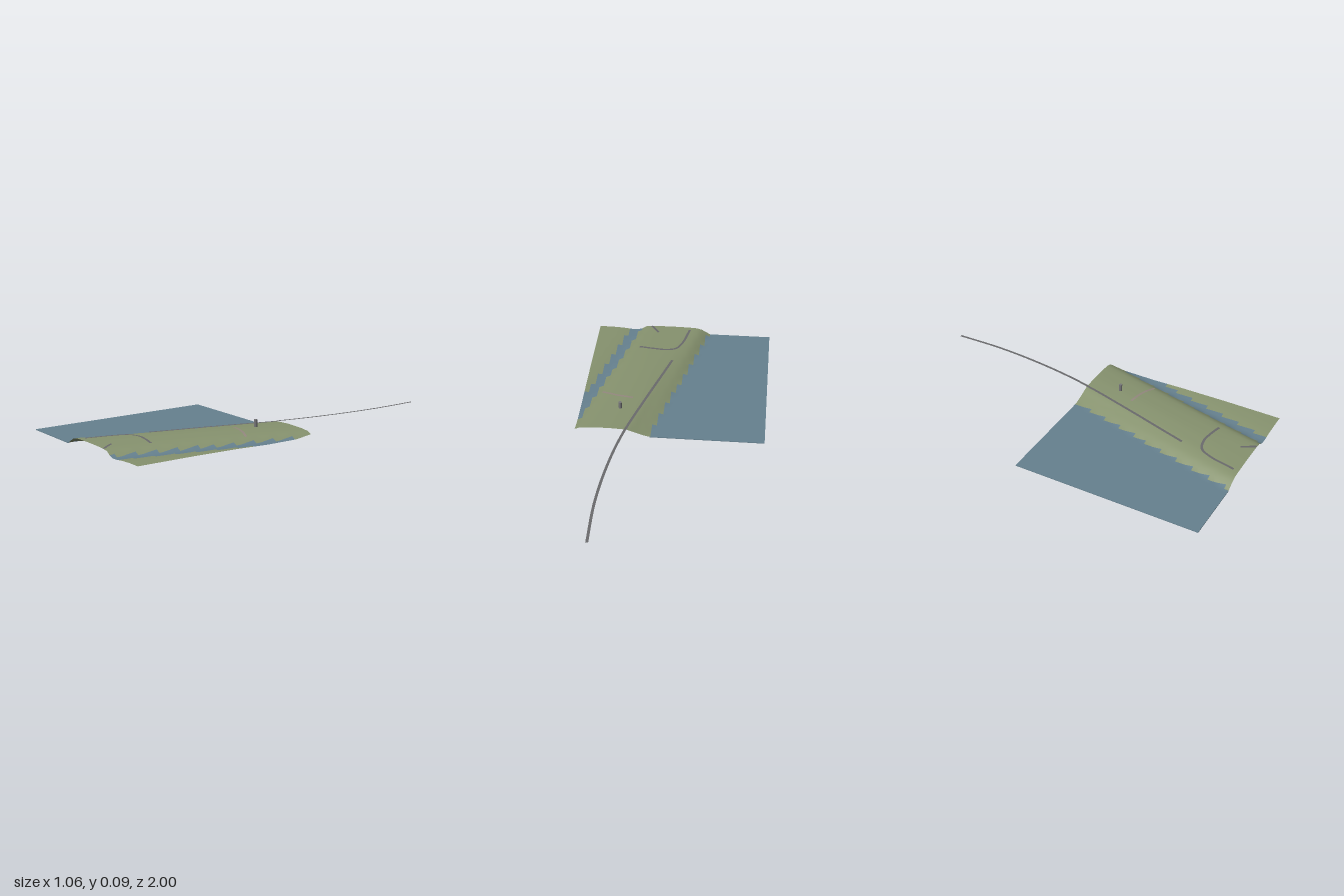
import * as THREE from 'three';

const X0 = -0.53, X1 = 0.53, Z0 = -0.07, Z1 = 1, N = 40;
const SEA = 0.004, CHANNEL = 0.016;

const shoreU = (x, z) => x - (0.102 - 0.257 * z); // distance inland from the sea shore

// Cross-section of the headland: [distance from shore, height]
const FRONT = [[0, SEA], [0.035, 0.03], [0.065, 0.042], [0.11, 0.046], [0.22, 0.048], [0.33, 0.047],
  [0.39, 0.043], [0.435, CHANNEL], [0.485, CHANNEL], [0.53, 0.022], [0.6, 0.026], [0.7, 0.027]];
const BACK = [[0, SEA], [0.05, 0.02], [0.08, 0.03], [0.115, 0.045], [0.22, 0.05], [0.33, 0.047],
  [0.39, 0.041], [0.435, CHANNEL], [0.485, CHANNEL], [0.53, 0.022], [0.6, 0.026], [0.7, 0.027]];

function sample(profile, u) {
  if (u <= profile[0][0]) return profile[0][1];
  for (let i = 1; i < profile.length; i++) {
    const [a, ya] = profile[i - 1], [b, yb] = profile[i];
    if (u <= b) return THREE.MathUtils.lerp(ya, yb, (u - a) / (b - a));
  }
  return profile[profile.length - 1][1];
}

function height(x, z) {
  const u = shoreU(x, z), t = (z - Z0) / (Z1 - Z0);
  const y = THREE.MathUtils.lerp(sample(BACK, u), sample(FRONT, u), t);
  // gentle crown in the middle of the headland
  const crown = u > 0.08 && u < 0.4 ? Math.sin((u - 0.08) / 0.32 * Math.PI) : 0;
  return y + 0.005 * crown * Math.sin(Math.max(0, Math.min(1, t)) * Math.PI);
}

function regionAt(x, z) {
  const u = shoreU(x, z);
  if (u < 0) return 'sea';
  return u > 0.425 && u < 0.49 ? 'channel' : 'land';
}

const material = color => new THREE.MeshStandardMaterial({ color, side: THREE.DoubleSide });

function surface(name, positions, index, mat) {
  const g = new THREE.BufferGeometry();
  g.setAttribute('position', new THREE.Float32BufferAttribute(positions, 3));
  g.setIndex(index);
  g.computeVertexNormals();
  const mesh = new THREE.Mesh(g, mat);
  mesh.name = name;
  return mesh;
}

// Flat strip along a plan-view curve, draped on the ground
function ribbon(name, points, width, mat, steps = 60) {
  const curve = new THREE.CatmullRomCurve3(points.map(([x, z]) => new THREE.Vector3(x, 0, z)));
  const pos = [], index = [];
  for (let i = 0; i <= steps; i++) {
    const p = curve.getPointAt(i / steps), t = curve.getTangentAt(i / steps);
    const y = p.z < Z0 ? 0.049 : height(p.x, p.z) + 0.002;
    for (const s of [-1, 1]) {
      pos.push(p.x - s * t.z * width / 2, y, p.z + s * t.x * width / 2);
    }
    if (i < steps) {
      const a = i * 2;
      index.push(a, a + 2, a + 1, a + 1, a + 2, a + 3);
    }
  }
  return surface(name, pos, index, mat);
}

export function createModel() {
  const model = new THREE.Group();
  model.name = 'coastalTerrain';
  const landMat = material(0x87936f), waterMat = material(0x66818f);
  const trackMat = material(0x6a6a6c), paleMat = material(0x94897f);

  // Land and water share one grid, so the shores follow the cells
  const dx = (X1 - X0) / N, dz = (Z1 - Z0) / N;
  const positions = [], cells = { land: [], sea: [], channel: [] };
  for (let j = 0; j <= N; j++) {
    for (let i = 0; i <= N; i++) {
      const x = X0 + i * dx, z = Z0 + j * dz;
      positions.push(x, height(x, z), z);
      if (i === N || j === N) continue;
      const a = j * (N + 1) + i, b = a + N + 1;
      cells[regionAt(x + dx / 2, z + dz / 2)].push(a, b, a + 1, a + 1, b, b + 1);
    }
  }
  model.add(surface('land', positions, cells.land, landMat));
  model.add(surface('sea', positions, cells.sea, waterMat));
  model.add(surface('channelWater', positions, cells.channel, waterMat));

  // Thin rim of the sea sheet
  const rim = (w, d, x, z) => {
    const m = new THREE.Mesh(new THREE.BoxGeometry(w, SEA, d), waterMat);
    m.position.set(x, SEA / 2, z);
    m.name = 'seaRim';
    model.add(m);
  };
  const e = 0.002;
  rim(e, Z1 - Z0, X0 + e / 2, (Z0 + Z1) / 2);
  rim(0.64, e, X0 + 0.32, Z0 + e / 2);
  rim(0.37, e, X0 + 0.185, Z1 - e / 2);

  // Long track running out beyond the back edge
  model.add(ribbon('longTrack', [[0.045, 0.63], [0.1, 0.44], [0.17, 0.2], [0.24, -0.05], [0.282, -0.25],
    [0.31, -0.45], [0.325, -0.62], [0.33, -0.76], [0.325, -1]], 0.015, trackMat, 120));

  // Short roads on the headland
  model.add(ribbon('curvedRoad', [[-0.035, 0.97], [0, 0.82], [0.035, 0.755], [0.1, 0.733], [0.18, 0.74],
    [0.255, 0.755]], 0.014, trackMat));
  model.add(ribbon('crossRoad', [[0.235, 0.222], [0.33, 0.24], [0.42, 0.275]], 0.014, paleMat));
  model.add(ribbon('frontRoad', [[0.155, 0.925], [0.178, 0.96], [0.205, 0.998]], 0.014, trackMat));

  // Round tower
  const tower = new THREE.Mesh(new THREE.CylinderGeometry(0.009, 0.009, 0.046, 12), material(0x77777a));
  tower.position.set(0.296, 0.069, 0.12);
  tower.name = 'tower';
  model.add(tower);

  return model;
}
